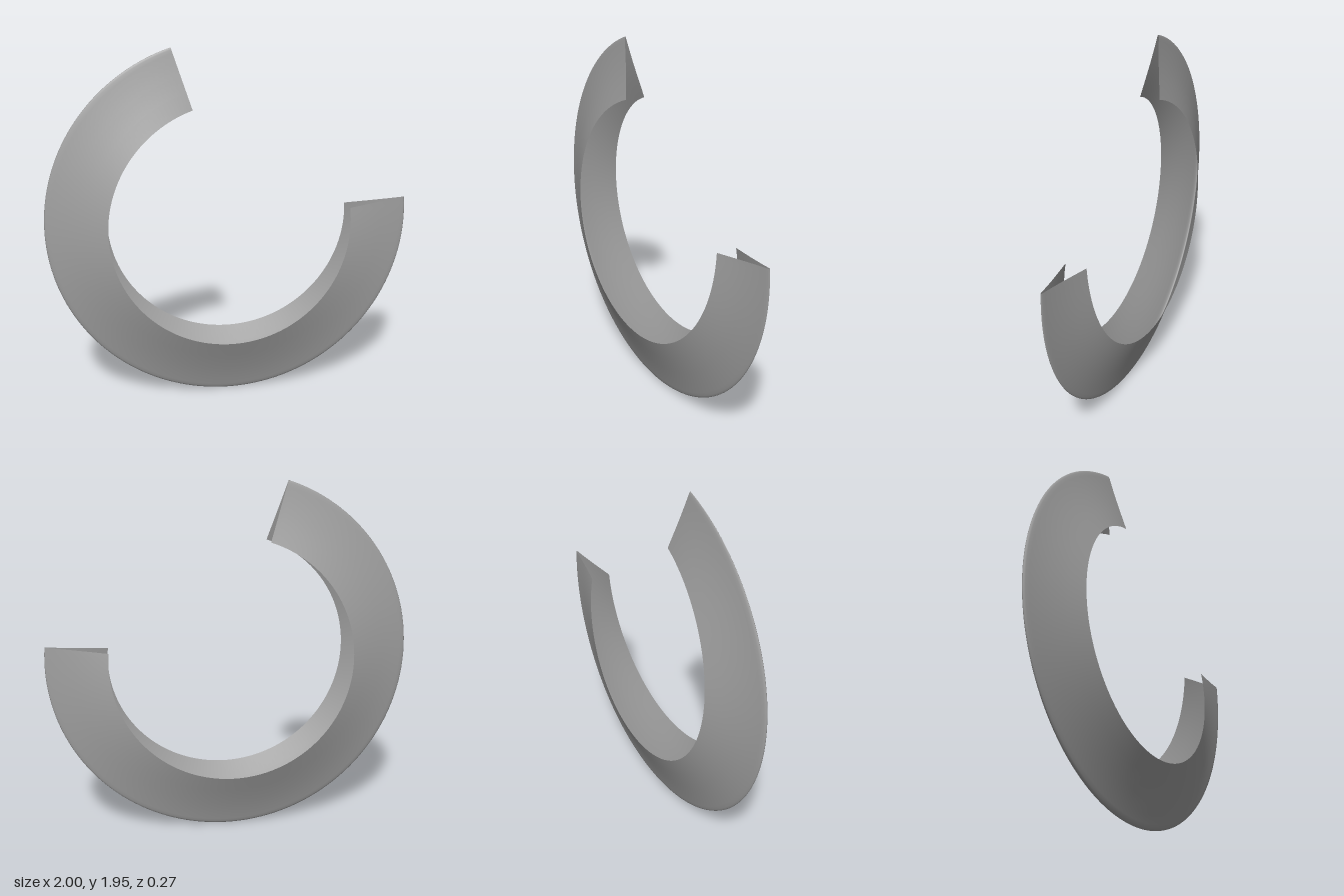
import * as THREE from 'three';

const START = THREE.MathUtils.degToRad(108);
const END = THREE.MathUtils.degToRad(366);
const STEPS = 128;

// Half of the V section: [radius, share of the local half width]
const half = [[0.667, 1], [0.76, 0.7], [0.85, 0.42], [0.93, 0.21], [0.97, 0.12], [0.988, 0.075], [0.997, 0.035]];
const section = [
  ...half,
  [1, 0],
  ...half.slice().reverse().map(([r, w]) => [r, -w]),
];

// Open V-shaped channel swept round an arc, widest in the middle
function channelGeometry() {
  const positions = [];
  const index = [];
  const row = section.length;
  for (let i = 0; i <= STEPS; i++) {
    const t = i / STEPS;
    const angle = START + (END - START) * t;
    const u = Math.abs(2 * t - 1);
    const width = 0.137 - 0.08 * Math.pow(u, 2.2);
    for (const [r, w] of section) {
      positions.push(r * Math.cos(angle), 1 + r * Math.sin(angle), w * width);
    }
  }
  for (let i = 0; i < STEPS; i++) {
    for (let j = 0; j < row - 1; j++) {
      const a = i * row + j;
      const b = a + row;
      index.push(a, a + 1, b, a + 1, b + 1, b);
    }
  }
  const geometry = new THREE.BufferGeometry();
  geometry.setAttribute('position', new THREE.Float32BufferAttribute(positions, 3));
  geometry.setIndex(index);
  geometry.computeVertexNormals();
  return geometry;
}

export function createModel() {
  const group = new THREE.Group();
  group.name = 'openRing';
  const grey = new THREE.MeshStandardMaterial({ color: 0xa0a0a0, side: THREE.DoubleSide });
  grey.name = 'grey';
  const ring = new THREE.Mesh(channelGeometry(), grey);
  ring.name = 'ringChannel';
  group.add(ring);
  return group;
}
